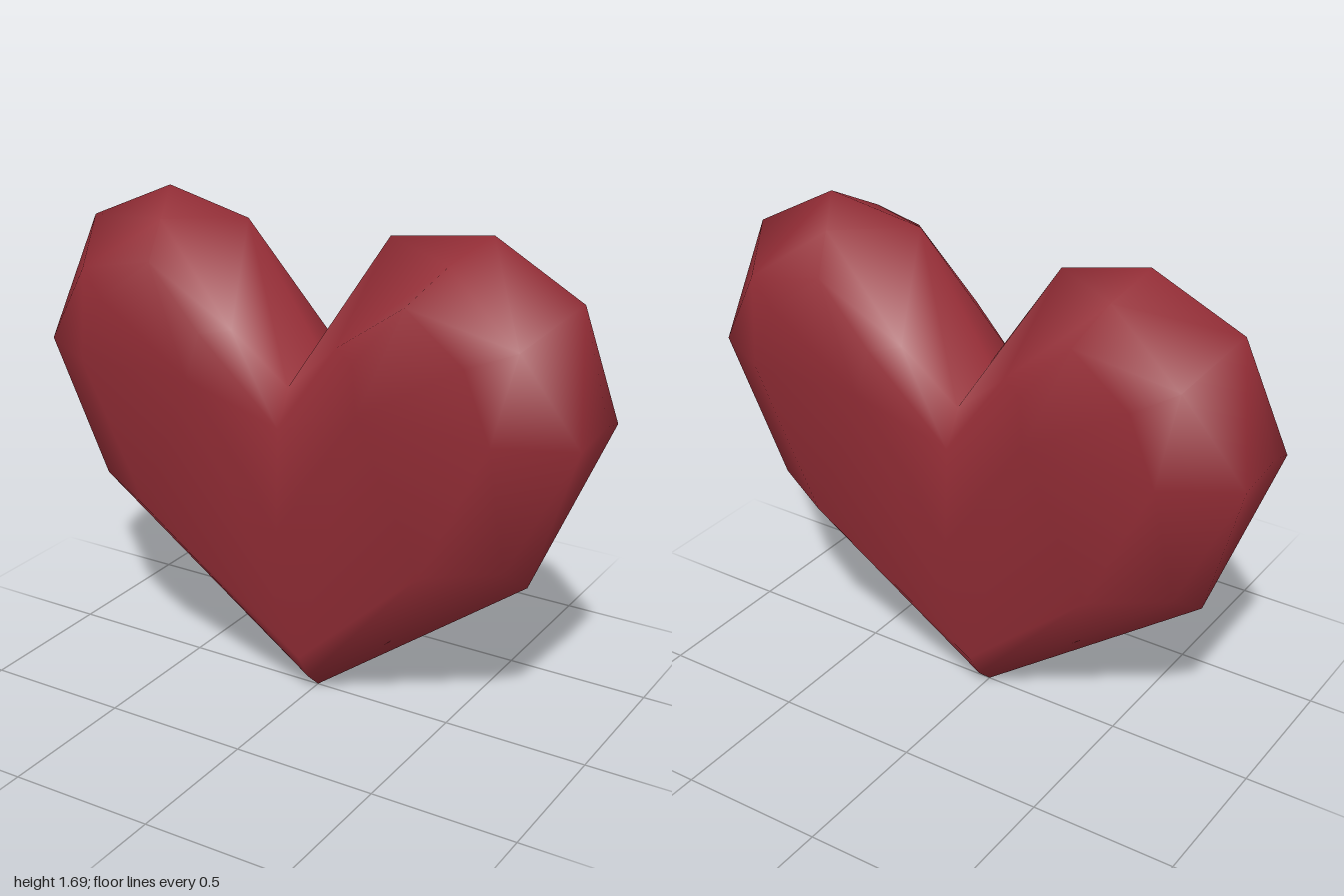
import * as THREE from 'three';

// Right-hand half of each contour, from bottom tip round to the notch: [x, y, z]
const rim = [[0, 0, 0], [0.77, 0.57, 0], [1, 1.16, 0], [0.91, 1.52, 0], [0.61, 1.685, 0], [0.26, 1.635, 0], [0, 1.23, 0]];
const bevel = [[0, 0.06, 0.065], [0.75, 0.67, 0.14], [0.98, 1.12, 0.137], [0.8, 1.41, 0.2], [0.53, 1.61, 0.137], [0.19, 1.32, 0.21], [0, 1.15, 0.18]];
const face = [[0, 0.16, 0.127], [0.52, 0.65, 0.26], [0.75, 1.13, 0.27], [0.66, 1.36, 0.275], [0.46, 1.51, 0.27], [0.28, 1.3, 0.262], [0, 1.03, 0.245]];
// Hand-modelled irregularity of the opposite half: [dx, dy]
const shift = [[0, 0], [-0.03, 0.02], [0, 0.025], [0.03, 0.03], [0.045, 0.005], [0, -0.015], [0, 0]];

// Close a half contour into a full counter-clockwise loop
function fullLoop(half, amount) {
  const loop = half.map((p) => [...p]);
  for (let i = half.length - 2; i > 0; i--) {
    const [x, y, z] = half[i];
    loop.push([-x + shift[i][0] * amount, y + shift[i][1] * amount, z]);
  }
  return loop;
}

function heartGeometry() {
  const points = [];
  const index = [];
  const add = (p, side) => points.push(new THREE.Vector3(p[0], p[1], p[2] * side)) - 1;
  const outline = fullLoop(rim, 1).map((p) => add(p, 1));
  const n = outline.length;
  const plane = new THREE.Plane();

  for (const side of [1, -1]) {
    const tri = (a, b, c) => (side > 0 ? index.push(a, b, c) : index.push(a, c, b));
    // Split a quad along its outward-bulging diagonal
    const quad = (a, b, c, d) => {
      plane.setFromCoplanarPoints(points[a], points[b], points[c]);
      if (plane.distanceToPoint(points[d]) * side <= 0) {
        tri(a, b, c);
        tri(a, c, d);
      } else {
        tri(a, b, d);
        tri(b, c, d);
      }
    };
    const rings = [
      outline,
      fullLoop(bevel, 0.5).map((p) => add(p, side)),
      fullLoop(face, 0).map((p) => add(p, side)),
    ];
    // Rounded edge
    for (let r = 0; r < 2; r++) {
      for (let i = 0; i < n; i++) {
        const j = (i + 1) % n;
        quad(rings[r][i], rings[r][j], rings[r + 1][j], rings[r + 1][i]);
      }
    }
    // Domed face: one fan per lobe, meeting at the centre line
    const middle = add([0, 0.68, 0.258], side);
    for (const half of [0, 1]) {
      const lobe = add([half ? -0.31 : 0.31, 1.15, 0.293], side);
      const fan = [];
      for (let i = 0; i <= n / 2; i++) fan.push(rings[2][(i + half * n / 2) % n]);
      fan.push(middle);
      fan.forEach((v, i) => tri(lobe, v, fan[(i + 1) % fan.length]));
    }
  }

  const geometry = new THREE.BufferGeometry().setFromPoints(points);
  geometry.setIndex(index);
  geometry.computeVertexNormals();
  return geometry;
}

export function createModel() {
  const group = new THREE.Group();
  group.name = 'heartModel';
  const heart = new THREE.Mesh(heartGeometry(), new THREE.MeshStandardMaterial({ color: 0x942d36 }));
  heart.name = 'heart';
  group.add(heart);
  return group;
}
